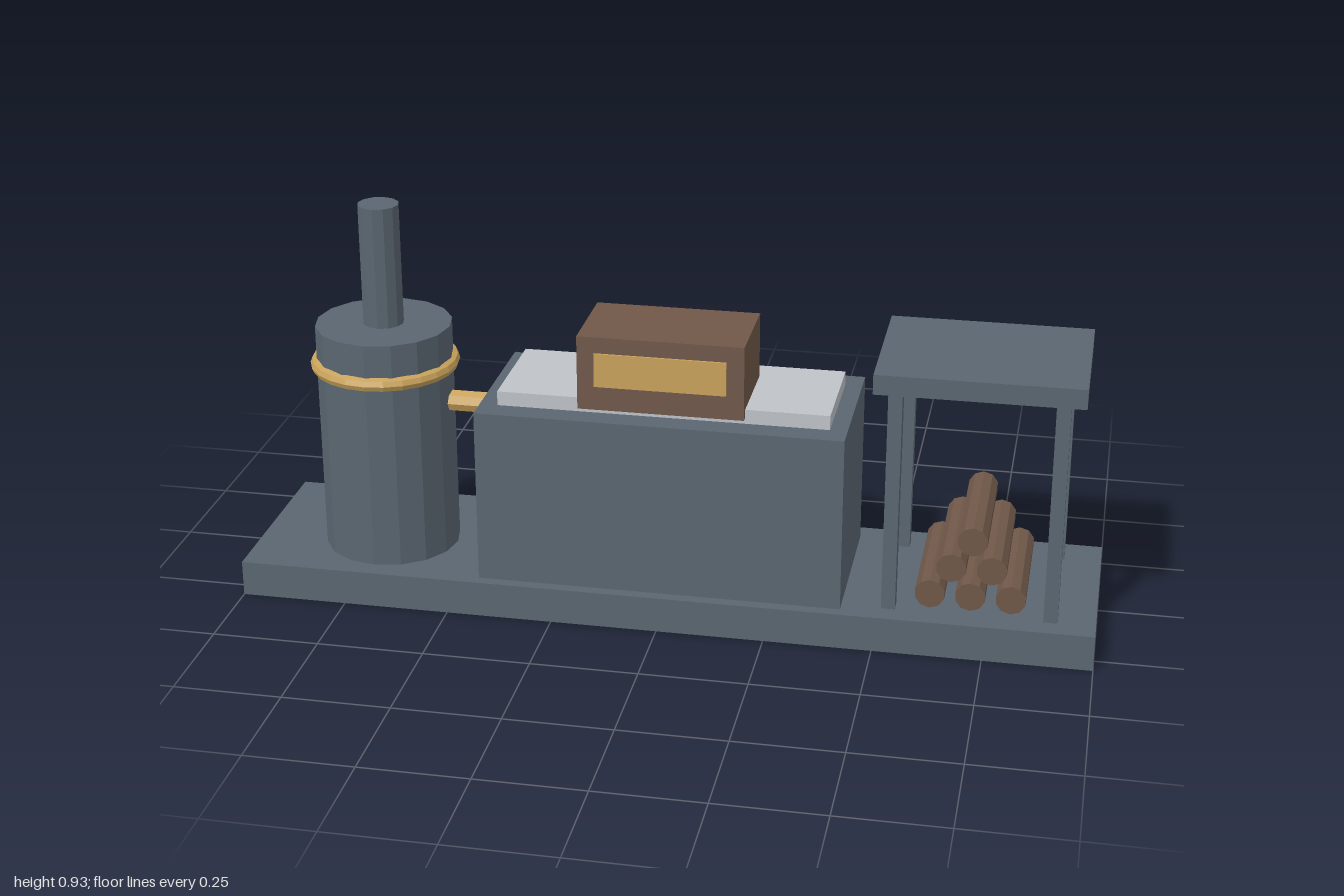
import * as THREE from 'three';

const paint = (name, color) => {
  const m = new THREE.MeshStandardMaterial({ color });
  m.name = name;
  return m;
};

export function createModel() {
  const slate = paint('slate', 0x5a6670);
  const brown = paint('brown', 0x705849);
  const gold = paint('gold', 0xc8a25a);
  const pale = paint('pale grey', 0xbfc2c8);
  for (const m of [slate, brown, gold, pale]) m.flatShading = true;

  const model = new THREE.Group();
  model.name = 'steamEngine';

  const add = (name, geometry, material, x, y, z, parent = model) => {
    const mesh = new THREE.Mesh(geometry, material);
    mesh.name = name;
    mesh.position.set(x, y, z);
    parent.add(mesh);
    return mesh;
  };
  // box given by its minimum and maximum corners
  const box = (name, material, [x0, y0, z0], [x1, y1, z1], parent) =>
    add(name, new THREE.BoxGeometry(x1 - x0, y1 - y0, z1 - z0), material,
      (x0 + x1) / 2, (y0 + y1) / 2, (z0 + z1) / 2, parent);

  // base and main housing
  box('base', slate, [-1, 0, -0.167], [1, 0.085, 0.296]);
  box('housing', slate, [-0.427, 0.085, -0.115], [0.423, 0.503, 0.269]);
  box('topSlab', pale, [-0.385, 0.503, -0.057], [0.383, 0.537, 0.212]);

  // wooden cabinet with a gold panel front and back
  box('cabinet', brown, [-0.193, 0.517, 0.009], [0.19, 0.693, 0.229]);
  for (const z of [0.23, 0.008])
    box('cabinetPanel', gold, [-0.153, 0.575, z - 0.004], [0.15, 0.655, z + 0.004]);

  // boiler with chimney, band, firebox and pipe
  const boiler = new THREE.Group();
  boiler.name = 'boiler';
  model.add(boiler);
  const bx = -0.687, bz = 0.09;
  add('boilerTank', new THREE.CylinderGeometry(0.16, 0.16, 0.555, 16), slate, bx, 0.3625, bz, boiler);
  add('chimney', new THREE.CylinderGeometry(0.048, 0.048, 0.29, 12), slate, bx, 0.785, bz, boiler);
  add('boilerBand', new THREE.TorusGeometry(0.158, 0.017, 8, 24), gold, bx, 0.545, bz, boiler)
    .rotation.x = Math.PI / 2;
  box('firebox', gold, [-0.763, 0.14, -0.128], [-0.61, 0.27, -0.03], boiler);
  add('pipe', new THREE.CylinderGeometry(0.026, 0.026, 0.16, 8), gold, -0.48, 0.454, bz, boiler)
    .rotation.z = Math.PI / 2;

  // ringed cones on the back
  const rings = [[-0.12, 0.101], [-0.153, 0.083], [-0.203, 0.062], [-0.245, 0.039]];
  for (const x of [-0.22, 0.217]) {
    const horn = new THREE.Group();
    horn.name = 'ringedCone';
    horn.position.set(x, 0.28, 0);
    model.add(horn);
    add('cone', new THREE.CylinderGeometry(0.017, 0.09, 0.181, 12), slate, 0, 0, -0.2055, horn)
      .rotation.x = -Math.PI / 2;
    for (const [z, r] of rings)
      add('coneRing', new THREE.TorusGeometry(r, 0.0085, 8, 20), gold, 0, 0, z, horn);
  }

  // shelter on four posts
  const shelter = new THREE.Group();
  shelter.name = 'shelter';
  model.add(shelter);
  box('roof', slate, [0.48, 0.613, -0.12], [0.948, 0.66, 0.251], shelter);
  for (const x of [0.53, 0.898])
    for (const z of [-0.098, 0.229])
      box('post', slate, [x - 0.016, 0.085, z - 0.017], [x + 0.016, 0.613, z + 0.017], shelter);

  // log pile: rows of three, two and one
  for (let row = 0; row < 3; row++)
    for (let i = 0; i < 3 - row; i++)
      add('log', new THREE.CylinderGeometry(0.035, 0.035, 0.315, 10), brown,
        0.714 + (i - (2 - row) / 2) * 0.092, 0.121 + row * 0.069, 0.066, shelter)
        .rotation.x = Math.PI / 2;

  return model;
}
